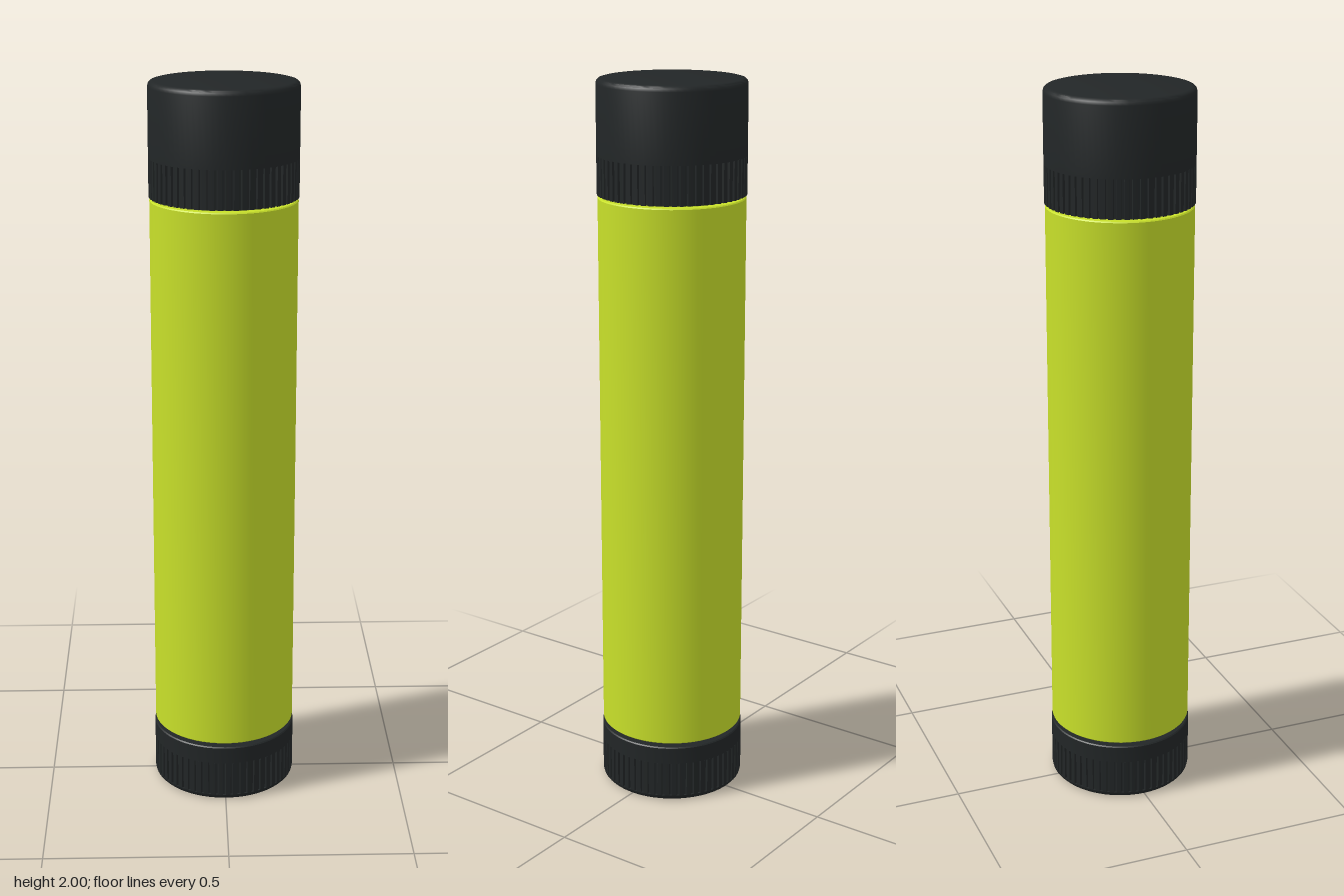
import * as THREE from 'three';
import { toCreasedNormals } from 'three/addons/utils/BufferGeometryUtils.js';

const R = 0.2;      // outer radius
const GROOVE = 0.006; // grip groove depth
const dark = new THREE.MeshStandardMaterial({ color: 0x222627 });
const lime = new THREE.MeshStandardMaterial({ color: 0xc8e02a });

// Solid of revolution from [radius, height] points, outside running upward
function lathe(name, points, material) {
  const profile = points.map(([r, y]) => new THREE.Vector2(r, y));
  const mesh = new THREE.Mesh(toCreasedNormals(new THREE.LatheGeometry(profile, 72), 0.6), material);
  mesh.name = name;
  return mesh;
}

// Ring with narrow vertical grooves for grip
function gripRing(name, y0, y1, count = 60) {
  const shape = new THREE.Shape();
  const profile = [[0, R], [0.6, R], [0.68, R - GROOVE], [0.92, R - GROOVE]];
  for (let i = 0; i < count; i++) {
    profile.forEach(([t, r], k) => {
      const a = ((i + t) / count) * Math.PI * 2;
      shape[i + k ? 'lineTo' : 'moveTo'](r * Math.cos(a), r * Math.sin(a));
    });
  }
  shape.closePath();
  const hole = new THREE.Path();
  hole.absarc(0, 0, R - 0.012, 0, Math.PI * 2, true);
  shape.holes.push(hole);
  const geometry = new THREE.ExtrudeGeometry(shape, { depth: y1 - y0, bevelEnabled: false, curveSegments: 36 });
  geometry.rotateX(-Math.PI / 2).translate(0, y0, 0);
  const mesh = new THREE.Mesh(toCreasedNormals(geometry, 0.3), dark);
  mesh.name = name;
  return mesh;
}

export function createModel() {
  const model = new THREE.Group();
  model.name = 'balmTube';
  const floor = R - GROOVE;

  // Hollow cap with rounded top rim and a grip band at its mouth
  const cap = new THREE.Group();
  cap.name = 'cap';
  cap.add(
    lathe('capShell', [
      [0.175, 1.696], [floor, 1.696], [floor, 1.8], [R, 1.8], [R, 1.985],
      [0.198, 1.993], [0.193, 1.998], [0.185, 2], [0, 2],
    ], dark),
    lathe('capInside', [[0, 1.97], [0.175, 1.97], [0.175, 1.696]], dark),
    gripRing('capGrip', 1.696, 1.8),
  );

  // Barrel with a narrower neck that slides into the cap
  const barrel = lathe('barrel', [
    [0, 0.176], [0.195, 0.176], [0.198, 0.179], [0.198, 1.687],
    [0.195, 1.69], [0.172, 1.69], [0.172, 1.93], [0, 1.93],
  ], lime);

  // Turning knob with a small recess underneath
  const knob = new THREE.Group();
  knob.name = 'knob';
  knob.add(
    lathe('knobBody', [
      [0, 0.02], [0.038, 0.02], [0.038, 0], [0.186, 0], [0.193, 0.002],
      [0.198, 0.007], [R, 0.015], [floor, 0.015], [floor, 0.115],
      [R, 0.115], [R, 0.162], [0.197, 0.165], [0, 0.165],
    ], dark),
    gripRing('knobGrip', 0.015, 0.115),
  );

  // Spindle joining knob and barrel
  const spindle = lathe('spindle', [[0.07, 0.16], [0.07, 0.18]], dark);

  model.add(cap, barrel, knob, spindle);
  return model;
}
